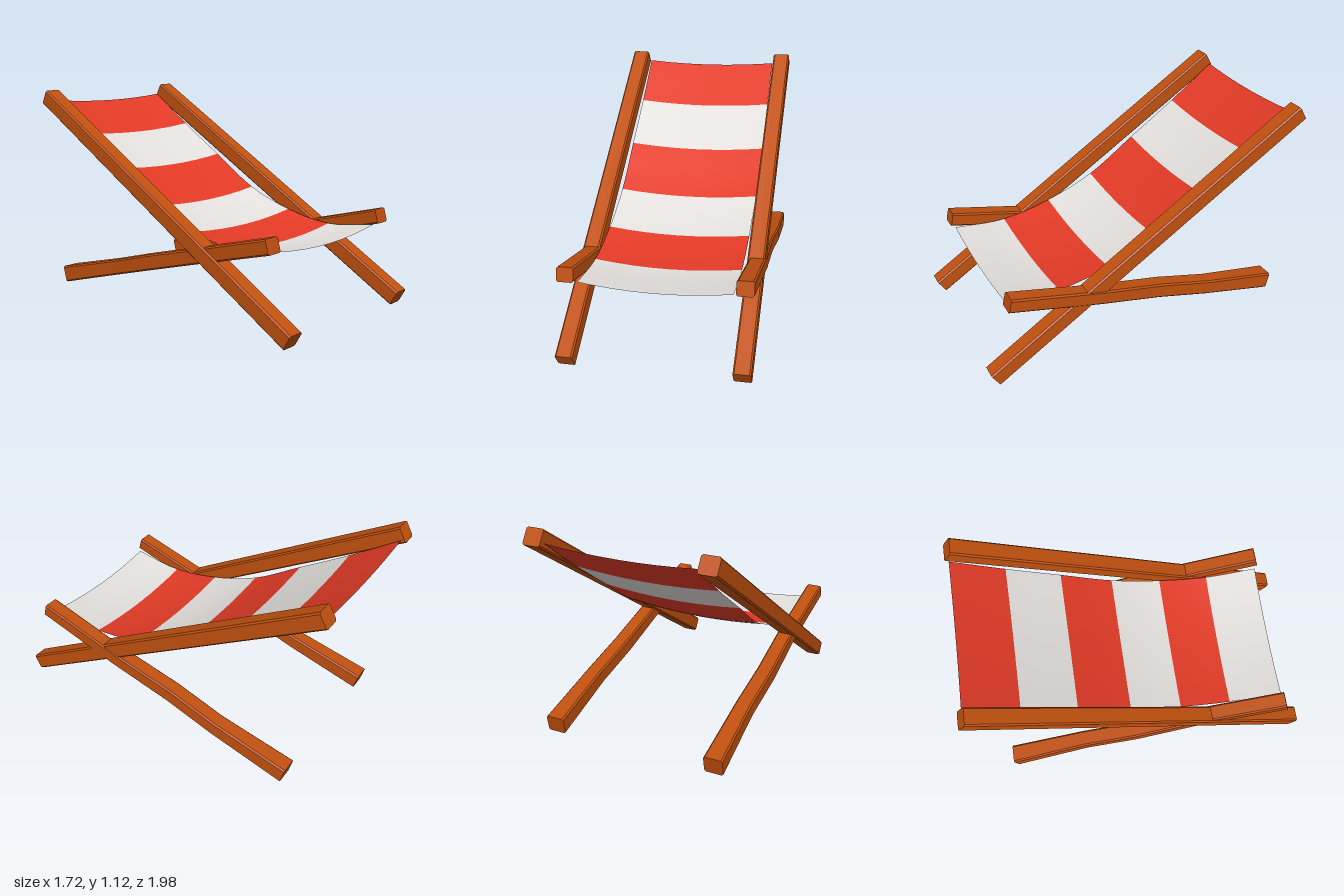
import * as THREE from 'three';

const wood = new THREE.MeshStandardMaterial({ color: 0xc0500f });
wood.name = 'orange wood';
const red = new THREE.MeshStandardMaterial({ color: 0xe23a26, side: THREE.DoubleSide });
red.name = 'red canvas';
const white = new THREE.MeshStandardMaterial({ color: 0xe2dfdc, side: THREE.DoubleSide });
white.name = 'white canvas';

// Chamfered beam through sections [x, y, z, width, height], listed from back to front
function beam(name, sections) {
  const first = sections[0], last = sections[sections.length - 1];
  const slope = Math.atan2(last[1] - first[1], last[2] - first[2]);
  const c = 0.008;
  const rings = sections.map(([x, y, z, w, h]) => {
    const a = w / 2, b = h / 2;
    const outline = [[a, c - b], [a, b - c], [a - c, b], [c - a, b], [-a, b - c], [-a, c - b], [c - a, -b], [a - c, -b]];
    return outline.map(([u, v]) => [x + u, y + v * Math.cos(slope), z - v * Math.sin(slope)]);
  });
  const pos = [];
  const tri = (p, q, r) => pos.push(...p, ...q, ...r);
  for (let k = 0; k < rings.length - 1; k++) {
    for (let i = 0; i < 8; i++) {
      const j = (i + 1) % 8, A = rings[k], B = rings[k + 1];
      tri(A[i], A[j], B[i]);
      tri(A[j], B[j], B[i]);
    }
  }
  const back = rings[0], front = rings[rings.length - 1];
  for (let i = 1; i < 7; i++) {
    tri(back[0], back[i + 1], back[i]);
    tri(front[0], front[i], front[i + 1]);
  }
  const geo = new THREE.BufferGeometry();
  geo.setAttribute('position', new THREE.Float32BufferAttribute(pos, 3));
  geo.computeVertexNormals();
  const mesh = new THREE.Mesh(geo, wood);
  mesh.name = name;
  return mesh;
}

// Side profile of the canvas, one point per stripe boundary
const profile = new THREE.CatmullRomCurve3([
  [1.047, -0.862], [0.873, -0.61], [0.703, -0.342], [0.533, -0.073],
  [0.435, 0.197], [0.39, 0.469], [0.42, 0.748],
].map(([y, z]) => new THREE.Vector3(0, y, z)));

function canvasStripe(index) {
  const geo = new THREE.PlaneGeometry(0.74, 1, 8, 5);
  const p = geo.attributes.position;
  for (let i = 0; i < p.count; i++) {
    const x = p.getX(i);
    const t = (index + 0.5 - p.getY(i)) / 6;
    const at = profile.getPoint(THREE.MathUtils.clamp(t, 0, 1));
    const sag = (0.018 + 0.012 * t) * (1 - (x / 0.37) ** 2);
    p.setXYZ(i, x, at.y - sag, at.z);
  }
  geo.computeVertexNormals();
  const mesh = new THREE.Mesh(geo, index % 2 ? white : red);
  mesh.name = 'canvasStripe' + (index + 1);
  return mesh;
}

export function createModel() {
  const chair = new THREE.Group();
  chair.name = 'chairFrame';

  for (const [side, s] of [['left', 1], ['right', -1]]) {
    const x = 0.425 * s;
    // Long rail from the headrest down to the front foot
    chair.add(beam(side + 'Rail', [
      [x, 1.07, -0.863, 0.09, 0.086],
      [x, 0.05, 0.863, 0.086, 0.084],
    ]));
    // Crossing leg, slightly bent and thicker at the back foot
    chair.add(beam(side + 'CrossLeg', [
      [x - 0.003, 0.075, -0.745, 0.096, 0.09],
      [x + 0.008, 0.177, -0.34, 0.084, 0.08],
      [x, 0.252, -0.06, 0.084, 0.08],
      [x + 0.008, 0.338, 0.28, 0.082, 0.076],
      [x, 0.46, 0.757, 0.084, 0.074],
    ]));
  }

  const canvas = new THREE.Group();
  canvas.name = 'canvas';
  for (let i = 0; i < 6; i++) canvas.add(canvasStripe(i));
  chair.add(canvas);

  // The chair leans a little and is turned on the ground
  chair.position.x = 0.022;
  const tilt = new THREE.Group();
  tilt.name = 'deckChair';
  tilt.add(chair);
  tilt.rotation.order = 'YXZ';
  tilt.rotation.set(0, Math.PI / 6, 0.03);

  const model = new THREE.Group();
  model.add(tilt);
  return model;
}
